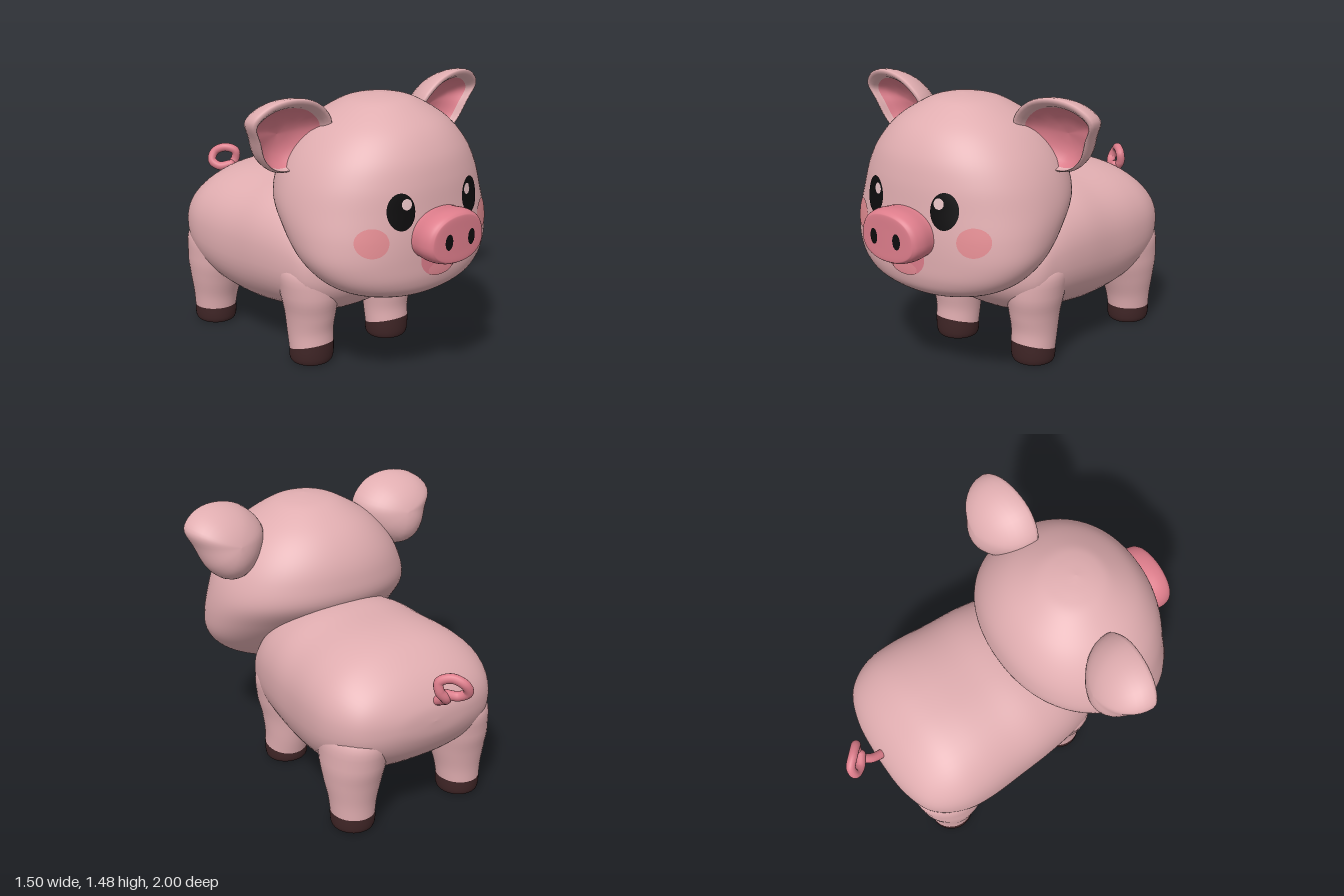
import * as THREE from 'three';

const paint = (name, color) => Object.assign(new THREE.MeshStandardMaterial({ color }), { name });
const skin = paint('skin pink', 0xe0adb0);
const rose = paint('snout rose', 0xdd7d8b);
const blush = paint('blush', 0xe48d93);
const tonguePink = paint('tongue pink', 0xe58a94);
const hoofBrown = paint('hoof brown', 0x3f2526);
const black = paint('black', 0x0d0c0d);
const glint = paint('eye glint', 0xecc6c8);

// Catmull-Rom through table rows, t from 0 to 1
function sample(rows, t) {
  const last = rows.length - 1;
  const i = Math.min(Math.floor(t * last), last - 1);
  const f = t * last - i;
  const row = (k) => rows[Math.max(0, Math.min(last, k))];
  return rows[0].map((_, c) => {
    const [a, b, d, e] = [row(i - 1)[c], row(i)[c], row(i + 1)[c], row(i + 2)[c]];
    return b + 0.5 * f * (d - a + f * (2 * a - 5 * b + 4 * d - e + f * (3 * (b - d) + e - a)));
  });
}

// Rings of points joined into a surface that faces outwards
function surface(point, rings, sides, splitRing = 0) {
  const pos = [], index = [];
  for (let i = 0; i <= rings; i++) {
    for (let j = 0; j < sides; j++) pos.push(...point(i / rings, (j / sides) * Math.PI * 2));
  }
  for (let i = 0; i < rings; i++) {
    for (let j = 0; j < sides; j++) {
      const k = (j + 1) % sides;
      const a = i * sides + j, b = i * sides + k, c = a + sides, d = b + sides;
      index.push(a, b, c, b, d, c);
    }
  }
  const v = (n) => new THREE.Vector3().fromArray(pos, n * 3);
  let volume = 0;
  for (let n = 0; n < index.length; n += 3) {
    volume += v(index[n]).dot(v(index[n + 1]).cross(v(index[n + 2])));
  }
  if (volume < 0) {
    for (let n = 0; n < index.length; n += 3) [index[n], index[n + 1]] = [index[n + 1], index[n]];
  }
  const geo = new THREE.BufferGeometry();
  geo.setAttribute('position', new THREE.Float32BufferAttribute(pos, 3));
  geo.setIndex(index);
  geo.computeVertexNormals();
  if (splitRing) {
    const start = splitRing * sides * 6;
    geo.addGroup(0, start, 0);
    geo.addGroup(start, index.length - start, 1);
  }
  return geo;
}

// Superellipse helper
const bow = (value, n) => Math.sign(value) * Math.abs(value) ** (2 / n);

// Head rows: y, half width, front z, back z
const headRows = [
  [0.468, 0, 0.58, 0.58], [0.48, 0.2, 0.74, 0.42], [0.53, 0.37, 0.83, 0.37], [0.6, 0.48, 0.863, 0.3],
  [0.7, 0.55, 0.87, 0.2], [0.82, 0.57, 0.87, 0.08], [0.95, 0.56, 0.86, -0.03], [1.08, 0.52, 0.845, -0.035],
  [1.2, 0.45, 0.81, 0.005], [1.31, 0.345, 0.735, 0.09], [1.4, 0.2, 0.61, 0.22], [1.43, 0.105, 0.53, 0.32],
  [1.442, 0, 0.43, 0.43],
];
const HEAD_N = 2.15;
function headPoint(t, a) {
  const [y, w, zf, zb] = sample(headRows, t);
  return [w * bow(Math.cos(a), HEAD_N), y, (zf + zb) / 2 + ((zf - zb) / 2) * bow(Math.sin(a), HEAD_N)];
}

// Front surface of the head at x, y
function headZ(x, y) {
  let lo = 0, hi = 1;
  for (let k = 0; k < 30; k++) {
    const mid = (lo + hi) / 2;
    if (sample(headRows, mid)[0] < y) lo = mid; else hi = mid;
  }
  const [, w, zf, zb] = sample(headRows, lo);
  const depth = Math.max(0, 1 - Math.abs(x / w) ** HEAD_N) ** (1 / HEAD_N);
  return (zf + zb) / 2 + ((zf - zb) / 2) * depth;
}

// Thin elliptical patch that follows a front surface
function patch(cx, cy, rx, ry, lift, zAt = headZ) {
  return surface((t, a) => {
    const x = cx + rx * t * Math.cos(a), y = cy + ry * t * Math.sin(a);
    return [x, y, zAt(x, y) + lift];
  }, 8, 36);
}

// Body rows: z, half width, top y, bottom y
const bodyRows = [
  [0.43, 0, 0.52, 0.52], [0.41, 0.2, 0.62, 0.41], [0.33, 0.38, 0.75, 0.31], [0.2, 0.44, 0.9, 0.235],
  [0, 0.475, 0.955, 0.2], [-0.2, 0.49, 0.955, 0.18], [-0.4, 0.505, 0.95, 0.2], [-0.55, 0.495, 0.92, 0.25],
  [-0.67, 0.445, 0.85, 0.33], [-0.75, 0.36, 0.77, 0.41], [-0.8, 0.2, 0.68, 0.51], [-0.812, 0, 0.6, 0.6],
];
function bodyPoint(t, a) {
  const [z, w, top, bottom] = sample(bodyRows, t);
  return [w * bow(Math.cos(a), 2.3), (top + bottom) / 2 + ((top - bottom) / 2) * bow(Math.sin(a), 2.3), z];
}

// Leg and hoof rows: y, centre x, radius x, centre z, radius z
const frontLegRows = [
  [0.09, 0.27, 0.12, 0.21, 0.115], [0.17, 0.27, 0.122, 0.2, 0.124], [0.28, 0.27, 0.135, 0.2, 0.14],
  [0.4, 0.275, 0.155, 0.2, 0.16], [0.55, 0.28, 0.15, 0.18, 0.15], [0.65, 0.26, 0, 0.16, 0],
];
const hindLegRows = [
  [0.09, 0.335, 0.115, -0.58, 0.12], [0.17, 0.333, 0.125, -0.575, 0.13], [0.28, 0.328, 0.148, -0.565, 0.16],
  [0.4, 0.32, 0.165, -0.555, 0.195], [0.55, 0.3, 0.16, -0.54, 0.2], [0.65, 0.28, 0, -0.52, 0],
];
const hoofRows = ([, cx, rx, cz, rz]) => [
  [0, 0], [0, 0.5], [0.002, 0.84], [0.018, 0.96], [0.05, 1], [0.09, 1],
].map(([y, s]) => [y, cx, rx * s, cz, rz * s]);

// Slant tilts the line between leg and hoof
function legGeometry(rows, side, slant) {
  return surface((t, a) => {
    const [y, cx, rx, cz, rz] = sample(rows, t);
    const dz = rz * Math.sin(a);
    const fade = y < 0.09 ? Math.max(0, y) / 0.09 : Math.max(0, 1 - (y - 0.09) / 0.16);
    return [side * (cx + rx * Math.cos(a)), Math.max(0, y + slant * dz * fade), cz + dz];
  }, 24, 36);
}

// Ear: a domed back, a rolled rim and a hollow coloured inside
function earGeometry(side) {
  const outline = new THREE.CatmullRomCurve3([
    [0.3, 1.33], [0.4, 1.445], [0.55, 1.483], [0.68, 1.455], [0.748, 1.385],
    [0.71, 1.29], [0.66, 1.18], [0.58, 1.11], [0.48, 1.1], [0.36, 1.18],
  ].map(([x, y]) => new THREE.Vector3(x, y, 0)), true);
  const rings = [];
  for (let k = 0; k <= 10; k++) {
    const a = (k / 10) * Math.PI / 2;
    rings.push([Math.sin(a), -0.19 * Math.cos(a), 0]);
  }
  rings.push([0.985, 0.014, 0], [0.95, 0.024, 0], [0.9, 0.02, -0.008], [0.85, 0.002, -0.016], [0.82, -0.02, -0.02]);
  const split = rings.length - 1;
  rings.push([0.7, -0.05, -0.02], [0.5, -0.08, -0.02], [0.25, -0.095, -0.02], [0, -0.1, -0.02]);
  const last = rings.length - 1;
  return surface((t, a) => {
    const [s, dz, dy] = rings[Math.round(t * last)];
    const p = outline.getPoint(a / (Math.PI * 2));
    const x = 0.52 + (p.x - 0.52) * s, y = 1.3 + (p.y - 1.3) * s + dy;
    return [side * x, y, 0.33 + 0.3 * (y - 1.1) - 0.12 * (x - 0.3) + dz];
  }, last, 48, split);
}

// Snout rows: z, scale of the outline
const snoutRows = [[0.78, 0], [0.79, 0.9], [0.87, 0.96], [0.93, 1], [0.97, 0.97], [0.99, 0.9], [0.996, 0.8], [0.996, 0.4], [0.996, 0]];
function snoutPoint(t, a) {
  const [z, s] = sample(snoutRows, t);
  const x = 0.19 * s * bow(Math.cos(a), 2.2);
  const y = 0.81 + s * bow(Math.sin(a), 2.2) * (Math.sin(a) > 0 ? 0.153 : 0.112);
  return [x, y, z - 0.4 * x * x];
}

export function createModel() {
  const model = new THREE.Group();
  model.name = 'pig';
  const add = (name, geometry, material) => {
    const mesh = new THREE.Mesh(geometry, material);
    mesh.name = name;
    model.add(mesh);
    return mesh;
  };

  add('body', surface(bodyPoint, 66, 64), skin);
  add('head', surface(headPoint, 72, 80), skin);
  add('snout', surface(snoutPoint, 40, 48), rose);
  add('mouth', patch(0, 0.71, 0.128, 0.1, 0.004), rose);
  add('tongue', patch(0, 0.648, 0.082, 0.036, 0.008), tonguePink);

  for (const side of [1, -1]) {
    const label = side > 0 ? 'left' : 'right';
    // Face details
    add(label + 'Eye', patch(side * 0.23, 0.965, 0.071, 0.09, 0.005), black);
    add(label + 'EyeGlint', patch(side * 0.203, 1.0, 0.026, 0.027, 0.008), glint);
    add(label + 'Cheek', patch(side * 0.373, 0.828, 0.074, 0.072, 0.005), blush);
    add(label + 'Nostril', patch(side * 0.075, 0.825, 0.024, 0.04, 0.003, (x) => 0.997 - 0.4 * x * x), black);
    add(label + 'Ear', earGeometry(side), [skin, rose]);
    // Legs and hooves
    for (const [name, rows, slant] of [['Front', frontLegRows, 0.28], ['Hind', hindLegRows, 0.04]]) {
      add(label + name + 'Leg', legGeometry(rows, side, slant), skin);
      add(label + name + 'Hoof', legGeometry(hoofRows(rows[0]), side, slant), hoofBrown);
    }
  }

  // Curly tail
  const curl = new THREE.CatmullRomCurve3([
    [-0.02, 0.69, -0.77], [-0.02, 0.73, -0.85], [0.01, 0.765, -0.895], [0.045, 0.81, -0.89], [0.045, 0.86, -0.885],
    [0, 0.882, -0.925], [-0.045, 0.855, -0.97], [-0.07, 0.805, -0.965], [-0.045, 0.775, -0.925], [0.01, 0.785, -0.885],
  ].map((p) => new THREE.Vector3(...p)));
  add('tail', new THREE.TubeGeometry(curl, 80, 0.025, 14), rose);
  add('tailTip', new THREE.SphereGeometry(0.025, 14, 10), rose).position.copy(curl.getPoint(1));

  return model;
}
